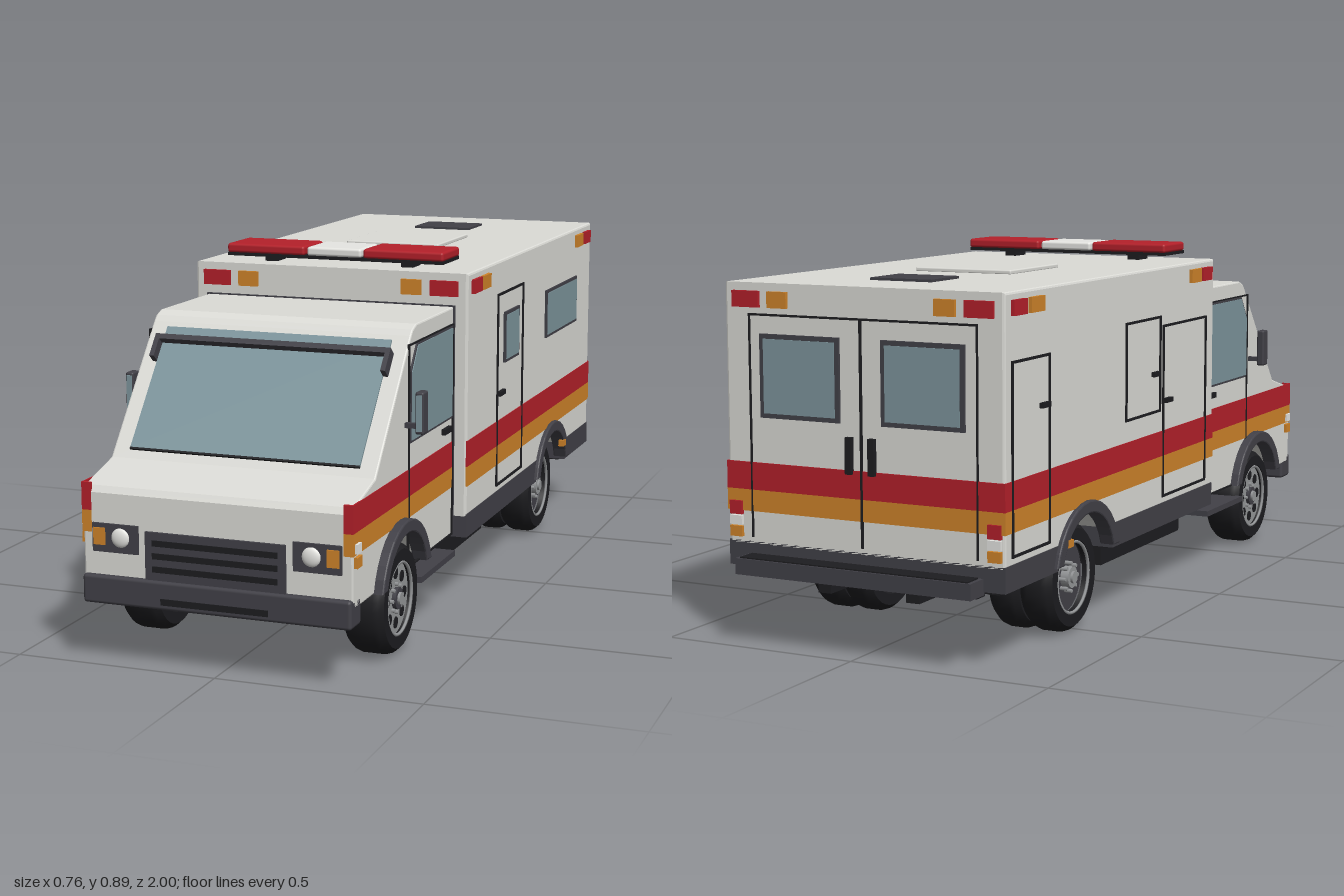
import * as THREE from 'three';
import { toCreasedNormals } from 'three/addons/utils/BufferGeometryUtils.js';
import { RoundedBoxGeometry } from 'three/addons/geometries/RoundedBoxGeometry.js';

const mat = (name, color) => Object.assign(new THREE.MeshStandardMaterial({ color }), { name });
const white = mat('bodyWhite', 0xdcdcd7), red = mat('red', 0xb5202a), orange = mat('orange', 0xd0842a);
const dark = mat('darkGrey', 0x424148), black = mat('black', 0x1d1d20), glass = mat('glass', 0x7e969d);
const metal = mat('metal', 0x96989a), lampWhite = mat('lampWhite', 0xeeeeea);

export function createModel() {
  const root = new THREE.Group();
  root.name = 'rescueTruck';

  const add = (name, geo, m, parent = root) => {
    const mesh = new THREE.Mesh(geo, m);
    mesh.name = name;
    parent.add(mesh);
    return mesh;
  };
  // Box from its limits on each axis
  const box = (name, m, x0, x1, y0, y1, z0, z1, parent = root, round = 0) => {
    const s = [Math.abs(x1 - x0), Math.abs(y1 - y0), Math.abs(z1 - z0)];
    const geo = round ? new RoundedBoxGeometry(...s, 2, round) : new THREE.BoxGeometry(...s);
    const mesh = add(name, geo, m, parent);
    mesh.position.set((x0 + x1) / 2, (y0 + y1) / 2, (z0 + z1) / 2);
    return mesh;
  };
  // Plate on a side wall at x = s * x, t thick
  const plate = (name, m, s, x, y0, y1, z0, z1, t = 0.004) =>
    box(name, m, s * (x - 0.002), s * (x + t), y0, y1, z0, z1);
  // Four thin strips around a door on a side wall
  const sideOutline = (name, s, x, y0, y1, z0, z1, w = 0.006) => {
    plate(name, black, s, x, y0, y1, z0, z0 + w);
    plate(name, black, s, x, y0, y1, z1 - w, z1);
    plate(name, black, s, x, y0, y0 + w, z0, z1);
    plate(name, black, s, x, y1 - w, y1, z0, z1);
  };
  // Side profile in (z, y), extruded across x about cx
  const extrudeSide = (name, m, pts, width, cx = 0, bevel = 0) => {
    const shape = new THREE.Shape(pts.map(p => new THREE.Vector2(...p)));
    const geo = new THREE.ExtrudeGeometry(shape, {
      depth: width - 2 * bevel, bevelEnabled: bevel > 0, bevelSize: bevel,
      bevelThickness: bevel, bevelOffset: -bevel, bevelSegments: 2,
    });
    geo.translate(0, 0, bevel - width / 2).rotateY(-Math.PI / 2).translate(cx, 0, 0);
    return add(name, geo, m);
  };
  // Wheel opening points, from rear foot to front foot, above y = floor
  const arch = (cz, r, floor, cy = 0.145, n = 14) => {
    const pts = [], a0 = Math.asin((floor - cy) / r);
    for (let i = 0; i <= n; i++) {
      const a = Math.PI - a0 - (Math.PI - 2 * a0) * i / n;
      pts.push([cz + r * Math.cos(a), cy + r * Math.sin(a)]);
    }
    return pts;
  };
  const FZ = 0.68, RZ = -0.525, CX = 0.33, BX = 0.365;

  // Cab and rear box
  extrudeSide('cab', white, [[0.275, 0.19], ...arch(FZ, 0.15, 0.19), [0.97, 0.19], [0.985, 0.2],
    [0.985, 0.405], [0.975, 0.42], [0.84, 0.455], [0.6, 0.742], [0.587, 0.755], [0.56, 0.765], [0.275, 0.765]],
    CX * 2, 0, 0.004);
  box('cabFloor', white, -0.2, 0.2, 0.19, 0.3, 0.52, 0.84);
  extrudeSide('boxBody', white, [[-0.94, 0.235], ...arch(RZ, 0.15, 0.235), [0.275, 0.235], [0.275, 0.847],
    [-0.94, 0.847]], BX * 2, 0, 0.006);
  extrudeSide('rearSkirt', dark, [[-0.94, 0.18], [RZ - 0.15, 0.18], [RZ - 0.15, 0.24], [-0.94, 0.24]], 0.732);
  extrudeSide('middleSkirt', dark, [[RZ + 0.15, 0.18], [0.272, 0.18], [0.272, 0.24], [RZ + 0.15, 0.24]], 0.732);
  box('boxFloor', black, -0.16, 0.16, 0.176, 0.29, -0.7, -0.35);
  box('underFloor', black, -0.345, 0.345, 0.174, 0.182, -0.36, 0.26);
  box('rearUnderFloor', black, -0.345, 0.345, 0.174, 0.182, -0.93, -0.69);
  box('cabSeal', dark, -0.333, 0.333, 0.2, 0.768, 0.273, 0.283);

  // Stripes, on the sides, round the cab corners and across the rear
  for (const [n, m, y0, y1] of [['redStripe', red, 0.363, 0.428], ['orangeStripe', orange, 0.312, 0.363]]) {
    for (const s of [1, -1]) {
      plate(n, m, s, BX, y0, y1, -0.943, 0.274, 0.002);
      plate(n, m, s, CX, y0, y1, 0.283, 0.988, 0.002);
      box(n, m, s * 0.309, s * 0.332, y0, y1, 0.98, 0.988);
    }
    box(n, m, -BX, BX, y0, y1, -0.943, -0.935);
  }

  // Windscreen with visor bar and wiper
  const screen = new THREE.Group();
  screen.name = 'windscreen';
  screen.position.set(0, 0.6025, 0.7165);
  screen.rotation.x = -0.696;
  root.add(screen);
  box('windscreenGlass', glass, -0.287, 0.287, -0.166, 0.166, -0.004, 0.005, screen);
  box('windscreenSeal', black, -0.287, 0.287, -0.17, -0.165, -0.004, 0.006, screen);
  box('visorBar', dark, -0.299, 0.299, 0.118, 0.132, 0.008, 0.028, screen);
  for (const s of [1, -1]) box('visorEnd', dark, s * 0.287, s * 0.299, 0.07, 0.132, 0, 0.028, screen);

  // Front: grille, bumper, headlights
  box('grille', dark, -0.172, 0.172, 0.213, 0.325, 0.98, 0.992);
  for (const y of [0.239, 0.27, 0.3]) box('grilleSlot', black, -0.154, 0.154, y - 0.007, y + 0.007, 0.988, 0.994);
  box('frontBumper', dark, -CX, CX, 0.145, 0.213, 0.932, 0.998, root, 0.008);
  box('bumperSlot', black, -0.132, 0.132, 0.158, 0.173, 0.99, 1);
  for (const s of [1, -1]) {
    box('headlightHousing', dark, s * 0.19, s * 0.305, 0.268, 0.335, 0.98, 0.991);
    const lamp = add('headlight', new THREE.SphereGeometry(0.023, 20, 12), lampWhite);
    lamp.position.set(s * 0.234, 0.304, 0.99);
    lamp.scale.z = 0.4;
    box('frontIndicator', orange, s * 0.272, s * 0.301, 0.285, 0.325, 0.985, 0.995);
    plate('cornerIndicator', orange, s, CX, 0.283, 0.308, 0.945, 0.977, 0.008);
    plate('cornerLamp', lampWhite, s, CX, 0.316, 0.338, 0.95, 0.977, 0.008);
  }

  // Cab sides: door, window, handle, mirror, running board
  for (const s of [1, -1]) {
    sideOutline('cabDoorSeam', s, CX, 0.19, 0.725, 0.286, 0.62, 0.004);
    const frame = [[0.294, 0.49], [0.611, 0.49], [0.611, 0.66], [0.565, 0.722], [0.294, 0.722]];
    const pane = [[0.3, 0.496], [0.605, 0.496], [0.605, 0.658], [0.562, 0.716], [0.3, 0.716]];
    extrudeSide('cabWindowFrame', dark, frame, 0.006, s * (CX + 0.001));
    extrudeSide('cabWindow', glass, pane, 0.008, s * (CX + 0.002));
    plate('cabHandle', black, s, CX, 0.46, 0.474, 0.312, 0.368, 0.01);
    box('mirrorArm', dark, s * 0.325, s * 0.37, 0.533, 0.545, 0.632, 0.645);
    box('mirror', dark, s * 0.36, s * 0.381, 0.522, 0.622, 0.622, 0.658, root, 0.005);
    box('mirrorGlass', glass, s * 0.364, s * 0.377, 0.53, 0.615, 0.654, 0.661);
    box('runningBoard', dark, s * 0.25, s * 0.345, 0.138, 0.153, 0.3, 0.56);
    box('boardBracket', black, s * 0.26, s * 0.28, 0.15, 0.195, 0.4, 0.46);
  }

  // Wheel arch flares
  const flare = (cz, s, x) => {
    const outer = arch(cz, 0.178, 0.19), inner = arch(cz, 0.147, 0.19).reverse();
    extrudeSide('wheelFlare', dark, [...outer, ...inner], 0.04, s * (x + 0.004), 0.004);
  };
  for (const s of [1, -1]) {
    flare(FZ, s, CX);
    flare(RZ, s, BX - 0.012);
    plate('flareLamp', orange, s, BX, 0.23, 0.248, -0.645, -0.62, 0.014);
  }

  // Box sides: framed windows, doors and handles
  const sideWindow = (s, y0, y1, z0, z1) => {
    plate('boxWindowFrame', dark, s, BX, y0, y1, z0, z1, 0.006);
    plate('boxWindow', glass, s, BX, y0 + 0.008, y1 - 0.008, z0 + 0.008, z1 - 0.008, 0.008);
  };
  const handle = (s, y, z0, z1) => plate('doorHandle', black, s, BX, y - 0.006, y + 0.006, z0, z1, 0.01);
  sideWindow(1, 0.577, 0.71, -0.77, -0.44);
  sideWindow(1, 0.575, 0.708, -0.167, -0.037);
  sideOutline('entryDoorSeam', 1, BX, 0.255, 0.763, -0.216, 0.022);
  handle(1, 0.5, -0.035, 0.016);
  sideOutline('largeLockerSeam', -1, BX, 0.255, 0.7, -0.07, 0.22);
  handle(-1, 0.505, -0.06, -0.02);
  sideOutline('squareLockerSeam', -1, BX, 0.48, 0.725, -0.3, -0.085);
  handle(-1, 0.58, -0.14, -0.1);
  sideOutline('rearLockerSeam', -1, BX, 0.255, 0.695, -0.91, -0.72);
  handle(-1, 0.58, -0.77, -0.73);

  // Warning lamps at the top corners, all four walls
  for (const s of [1, -1]) {
    for (const [m, a, b] of [[red, 0.18, 0.245], [orange, 0.105, 0.17], [orange, -0.825, -0.76], [red, -0.91, -0.845]])
      plate('sideWarningLamp', m, s, BX, 0.794, 0.829, a, b, 0.009);
    for (const [m, a, b] of [[red, 0.269, 0.341], [orange, 0.193, 0.245]]) {
      box('frontWarningLamp', m, s * a, s * b, 0.79, 0.828, 0.27, 0.284);
      box('rearWarningLamp', m, s * a, s * b, 0.79, 0.828, -0.949, -0.935);
    }
  }

  // Rear doors, tail lamps and step
  box('rearDoorSeam', black, -0.003, 0.003, 0.25, 0.775, -0.944, -0.935);
  box('rearDoorTop', black, -0.3, 0.3, 0.771, 0.776, -0.944, -0.935);
  for (const s of [1, -1]) {
    box('rearDoorEdge', black, s * 0.296, s * 0.3, 0.25, 0.775, -0.944, -0.935);
    box('rearWindowFrame', dark, s * 0.055, s * 0.268, 0.535, 0.73, -0.947, -0.935);
    box('rearWindow', glass, s * 0.066, s * 0.257, 0.546, 0.719, -0.949, -0.935);
    box('rearHandle', black, s * 0.022, s * 0.038, 0.42, 0.505, -0.953, -0.935);
    box('tailLamp', red, s * 0.325, s * 0.358, 0.303, 0.335, -0.949, -0.935);
    box('reverseLamp', lampWhite, s * 0.325, s * 0.358, 0.278, 0.3, -0.949, -0.935);
    box('rearIndicator', orange, s * 0.325, s * 0.358, 0.25, 0.275, -0.949, -0.935);
  }
  box('rearStep', dark, -0.31, 0.31, 0.172, 0.21, -1, -0.935);
  box('stepTread', black, -0.3, 0.3, 0.207, 0.213, -0.995, -0.945);

  // Roof: light bar, hatch and vent
  box('lightBarBase', black, -0.29, 0.29, 0.862, 0.87, 0.115, 0.245);
  for (const s of [1, -1]) {
    box('lightBarFoot', black, s * 0.168, s * 0.2, 0.844, 0.864, 0.15, 0.21);
    box('redBeacon', red, s * 0.079, s * 0.291, 0.869, 0.893, 0.112, 0.246, root, 0.007);
  }
  box('whiteBeacon', lampWhite, -0.073, 0.073, 0.869, 0.892, 0.114, 0.244, root, 0.007);
  box('roofHatch', white, -0.132, 0.132, 0.845, 0.857, -0.46, -0.197, root, 0.004);
  box('roofVent', dark, -0.082, 0.082, 0.845, 0.853, -0.76, -0.627);

  // Chassis
  for (const s of [1, -1]) box('chassisRail', black, s * 0.1, s * 0.135, 0.13, 0.176, -0.92, 0.92);
  for (const z of [0.5, 0.2, -0.2, -0.82]) box('crossMember', black, -0.24, 0.24, 0.135, 0.165, z - 0.02, z + 0.02);
  box('fuelTank', black, 0.15, 0.3, 0.115, 0.178, -0.07, 0.2);
  box('equipmentTray', black, -0.3, -0.15, 0.115, 0.178, -0.3, 0.2);
  for (const z of [FZ, RZ]) {
    const axle = add('axle', new THREE.CylinderGeometry(0.022, 0.022, 0.5, 12).rotateZ(Math.PI / 2), black);
    axle.position.set(0, 0.135, z);
  }

  // Wheels: single in front, twin at the rear; outer face points along local +x
  const R = 0.133;
  const tyre = (w, x, g) => {
    const h = w / 2, prof = [[0.086, -h + 0.02], [0.09, -h], [0.118, -h], [R - 0.004, -h + 0.012], [R, -h + 0.024],
      [R, h - 0.024], [R - 0.004, h - 0.012], [0.118, h], [0.09, h], [0.086, h - 0.02]];
    const geo = new THREE.LatheGeometry(prof.map(p => new THREE.Vector2(...p)), 36).rotateZ(-Math.PI / 2);
    add('tyre', toCreasedNormals(geo, 0.6), black, g).position.x = x;
  };
  const disc = (name, m, r, x0, x1, g, y = 0, z = 0, n = 28) =>
    add(name, new THREE.CylinderGeometry(r, r, x1 - x0, n).rotateZ(-Math.PI / 2), m, g).position.set((x0 + x1) / 2, y, z);
  for (const s of [1, -1]) for (const front of [true, false]) {
    const g = new THREE.Group();
    g.name = front ? 'frontWheel' : 'rearWheel';
    g.position.set(s * 0.285, R, front ? FZ : RZ);
    if (s < 0) g.rotation.y = Math.PI;
    root.add(g);
    tyre(front ? 0.1 : 0.085, front ? 0 : 0.007, g);
    if (!front) tyre(0.08, -0.08, g);
    disc('rim', front ? metal : dark, 0.088, front ? -0.03 : -0.1, front ? 0.036 : 0.025, g);
    add('rimEdge', new THREE.TorusGeometry(0.086, 0.004, 6, 36).rotateY(Math.PI / 2), metal, g).position.x = 0.046;
    disc('hub', front ? dark : metal, 0.026, 0, 0.046, g, 0, 0, 16);
    disc('hubCap', metal, 0.015, 0, 0.052, g, 0, 0, 12);
    for (let i = 0; i < 8; i++) {
      const a = i * Math.PI / 4, c = Math.cos(a), d = Math.sin(a);
      if (front) disc('rimHole', black, 0.014, 0.03, 0.038, g, 0.06 * c, 0.06 * d, 12);
      disc('wheelNut', metal, 0.005, 0.02, 0.044, g, 0.034 * c, 0.034 * d, 6);
    }
  }
  return root;
}
